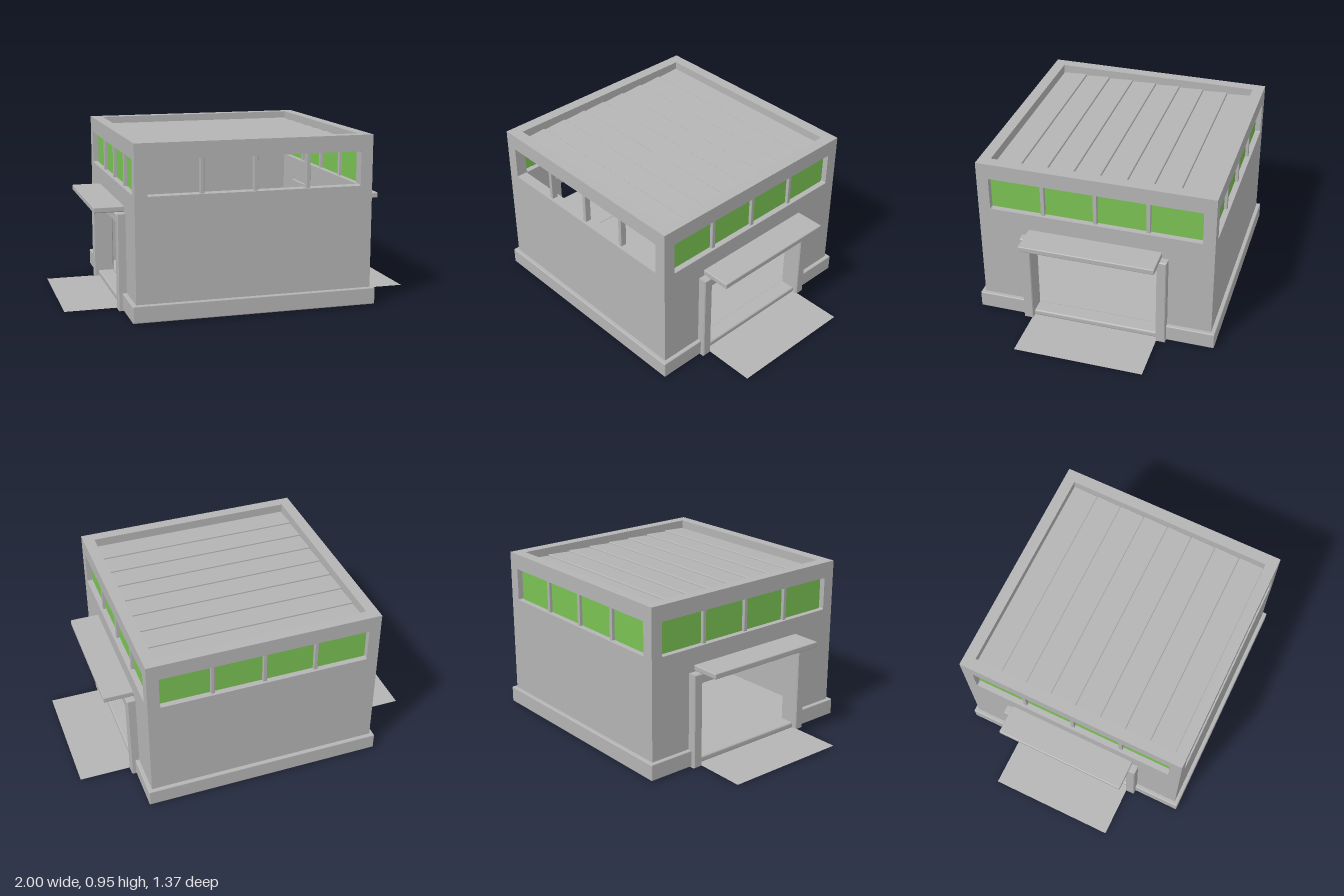
import * as THREE from 'three';
import { RoundedBoxGeometry } from 'three/addons/geometries/RoundedBoxGeometry.js';

const concrete = new THREE.MeshStandardMaterial({ color: 0xb4b4b4 });
concrete.name = 'concrete grey';
const paving = concrete.clone();
paving.name = 'paving grey';
paving.side = THREE.DoubleSide;
const glass = new THREE.MeshStandardMaterial({ color: 0x7ac253, side: THREE.DoubleSide });
glass.name = 'green glass';

const OUT = 0.663, IN = 0.598; // outer and inner wall faces

function add(parent, name, geometry, material = concrete) {
  const mesh = new THREE.Mesh(geometry, material);
  mesh.name = name;
  parent.add(mesh);
  return mesh;
}

// Box given by its two opposite corners
function block(parent, name, [x0, y0, z0], [x1, y1, z1], radius = 0.006) {
  const g = new RoundedBoxGeometry(x1 - x0, y1 - y0, z1 - z0, 2, radius);
  g.translate((x0 + x1) / 2, (y0 + y1) / 2, (z0 + z1) / 2);
  return add(parent, name, g);
}

// Upright slab outline, with an optional doorway notch in its lower edge
function archShape(halfWidth, height, doorHalf, doorTop) {
  const s = new THREE.Shape();
  s.moveTo(-halfWidth, 0);
  if (doorHalf) {
    s.lineTo(-doorHalf, 0);
    s.lineTo(-doorHalf, doorTop);
    s.lineTo(doorHalf, doorTop);
    s.lineTo(doorHalf, 0);
  }
  s.lineTo(halfWidth, 0);
  s.lineTo(halfWidth, height);
  s.lineTo(-halfWidth, height);
  s.closePath();
  return s;
}

function windowHole() {
  const w = 0.595, y0 = 0.67, y1 = 0.86, c = 0.008;
  const h = new THREE.Path();
  h.moveTo(-w + c, y0);
  h.lineTo(w - c, y0);
  h.quadraticCurveTo(w, y0, w, y0 + c);
  h.lineTo(w, y1 - c);
  h.quadraticCurveTo(w, y1, w - c, y1);
  h.lineTo(-w + c, y1);
  h.quadraticCurveTo(-w, y1, -w, y1 - c);
  h.lineTo(-w, y0 + c);
  h.quadraticCurveTo(-w, y0, -w + c, y0);
  return h;
}

// One side of the building, built facing +z and then turned
function makeSide(name, angle, hasDoor, hasGlass) {
  const side = new THREE.Group();
  side.name = name;
  side.rotation.y = angle;

  const shape = hasDoor ? archShape(OUT, 0.95, 0.4, 0.515) : archShape(IN, 0.95);
  shape.holes.push(windowHole());
  const wall = new THREE.ExtrudeGeometry(shape, { depth: OUT - IN, bevelEnabled: false, curveSegments: 4 });
  wall.translate(0, 0, IN);
  add(side, 'wall', wall);

  for (const x of [-0.296, 0, 0.296]) {
    block(side, 'windowMullion', [x - 0.011, 0.665, 0.612], [x + 0.011, 0.865, 0.648], 0.003);
  }
  if (hasGlass) {
    const pane = add(side, 'windowGlass', new THREE.PlaneGeometry(1.19, 0.19), glass);
    pane.position.set(0, 0.765, 0.63);
  }

  if (hasDoor) {
    // Door surround standing proud of the wall
    const frame = new THREE.ExtrudeGeometry(archShape(0.409, 0.53, 0.364, 0.485), {
      depth: 0.108, bevelThickness: 0.005, bevelSize: 0.005, bevelSegments: 1,
    });
    frame.translate(0, 0, 0.597);
    add(side, 'doorFrame', frame);
    block(side, 'doorSill', [-0.362, 0.001, 0.59], [0.362, 0.036, 0.685], 0.01);
    block(side, 'doorCanopy', [-0.378, 0.54, 0.65], [0.378, 0.572, 0.83]);
    // Paved approach at ground level
    const pad = new THREE.PlaneGeometry(0.73, 0.34);
    pad.rotateX(-Math.PI / 2);
    pad.translate(0, 0.002, 0.83);
    add(side, 'approachPad', pad, paving);
    for (const s of [-1, 1]) {
      const a = s * 0.4, b = s * 0.66;
      block(side, 'plinth', [Math.min(a, b), 0, 0.64], [Math.max(a, b), 0.095, 0.686]);
    }
  } else {
    block(side, 'plinth', [-0.686, 0, 0.64], [0.686, 0.095, 0.686]);
  }
  return side;
}

export function createModel() {
  const model = new THREE.Group();
  model.name = 'pavilion';

  model.add(
    makeSide('frontSide', 0, false, false),
    makeSide('backSide', Math.PI, false, true),
    makeSide('leftSide', Math.PI / 2, true, true),
    makeSide('rightSide', -Math.PI / 2, true, true),
  );

  block(model, 'floor', [-0.65, 0.006, -0.65], [0.65, 0.03, 0.65], 0.004);
  block(model, 'ceiling', [-0.6, 0.868, -0.6], [0.6, 0.89, 0.6], 0.002);

  // Slightly lapped roof boards running across the building
  const roof = new THREE.Group();
  roof.name = 'roofBoards';
  model.add(roof);
  const count = 8, pitch = 1.192 / count;
  for (let i = 0; i < count; i++) {
    const board = add(roof, 'roofBoard', new RoundedBoxGeometry(1.192, 0.02, pitch, 2, 0.006));
    board.position.set(0, 0.897, -0.596 + (i + 0.5) * pitch);
    board.rotation.x = 0.05;
  }
  return model;
}
